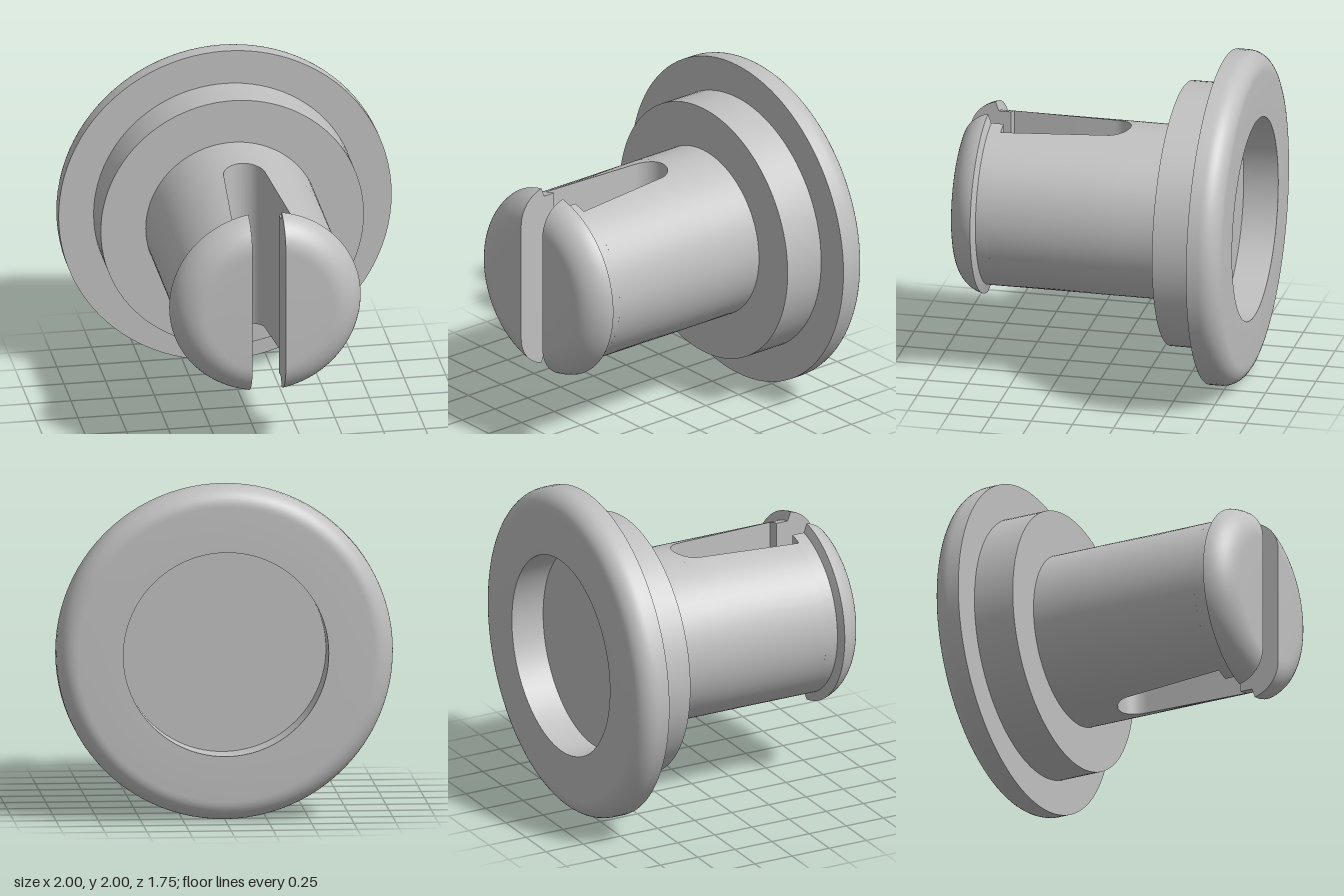
import * as THREE from 'three';
import { toCreasedNormals } from 'three/addons/utils/BufferGeometryUtils.js';

const CREASE = 0.5;

// Leg cross-section: a disc of radius r cut off by the slot wall at x = w
function legRing({ r, w, z }, n) {
  const a = Math.acos(w / r);
  return Array.from({ length: n + 1 }, (_, j) => {
    const t = -a + (2 * a * j) / n;
    return [r * Math.cos(t), r * Math.sin(t), z];
  });
}

// Skin the cross-sections and close the front end
function loftLeg(sections) {
  const n = 48, m = n + 1;
  const pos = sections.flatMap((s) => legRing(s, n).flat());
  const index = [];
  for (let i = 0; i < sections.length - 1; i++) {
    for (let j = 0; j < m; j++) {
      const a = i * m + j, b = i * m + ((j + 1) % m);
      index.push(a, b, b + m, a, b + m, a + m);
    }
  }
  const end = (sections.length - 1) * m;
  for (let j = 1; j < n; j++) index.push(end, end + j, end + j + 1);
  const g = new THREE.BufferGeometry();
  g.setAttribute('position', new THREE.Float32BufferAttribute(pos, 3));
  g.setIndex(index);
  return toCreasedNormals(g, CREASE);
}

export function createModel() {
  const plastic = new THREE.MeshStandardMaterial({ color: 0xc0c0c0 });
  plastic.name = 'grey plastic';

  const model = new THREE.Group();
  model.name = 'pushRivet';
  const body = new THREE.Group();
  body.name = 'body';
  body.position.y = 1;
  model.add(body);

  // Flange with back recess, collar and solid shaft root: (radius, z)
  const profile = [[0, -0.67], [0.61, -0.67], [0.61, -0.88]];
  for (let i = 0; i <= 10; i++) {
    const t = (i / 10) * Math.PI / 2;
    profile.push([0.88 + 0.12 * Math.sin(t), -0.76 - 0.12 * Math.cos(t)]);
  }
  profile.push([1, -0.69], [0.79, -0.69], [0.79, -0.435], [0.52, -0.435], [0.52, -0.125]);
  const lathe = new THREE.LatheGeometry(profile.map(([r, z]) => new THREE.Vector2(r, z)), 96);
  lathe.rotateX(Math.PI / 2);
  const flange = new THREE.Mesh(toCreasedNormals(lathe, CREASE), plastic);
  flange.name = 'flangeAndCollar';
  body.add(flange);

  // Split legs: arched slot root, widening slot, narrow slot through the head
  const sections = [];
  for (let i = 0; i <= 12; i++) {
    const t = (i / 12) * Math.PI / 2;
    sections.push({ r: 0.52, w: 0.125 * Math.sin(t), z: -0.125 * Math.cos(t) });
  }
  sections.push(
    { r: 0.52, w: 0.18, z: 0.625 },
    { r: 0.52, w: 0.1, z: 0.625 },
    { r: 0.52, w: 0.1, z: 0.7 },
  );
  // Rounded snap head
  for (let i = 0; i <= 12; i++) {
    const t = 0.227 + (i / 12) * (Math.PI / 2 - 0.227);
    sections.push({ r: 0.38 + 0.2 * Math.cos(t), w: 0.1, z: 0.675 + 0.2 * Math.sin(t) });
  }
  const legGeometry = loftLeg(sections);
  ['leftLeg', 'rightLeg'].forEach((name, i) => {
    const leg = new THREE.Mesh(legGeometry, plastic);
    leg.name = name;
    leg.rotation.z = i * Math.PI;
    body.add(leg);
  });

  return model;
}
